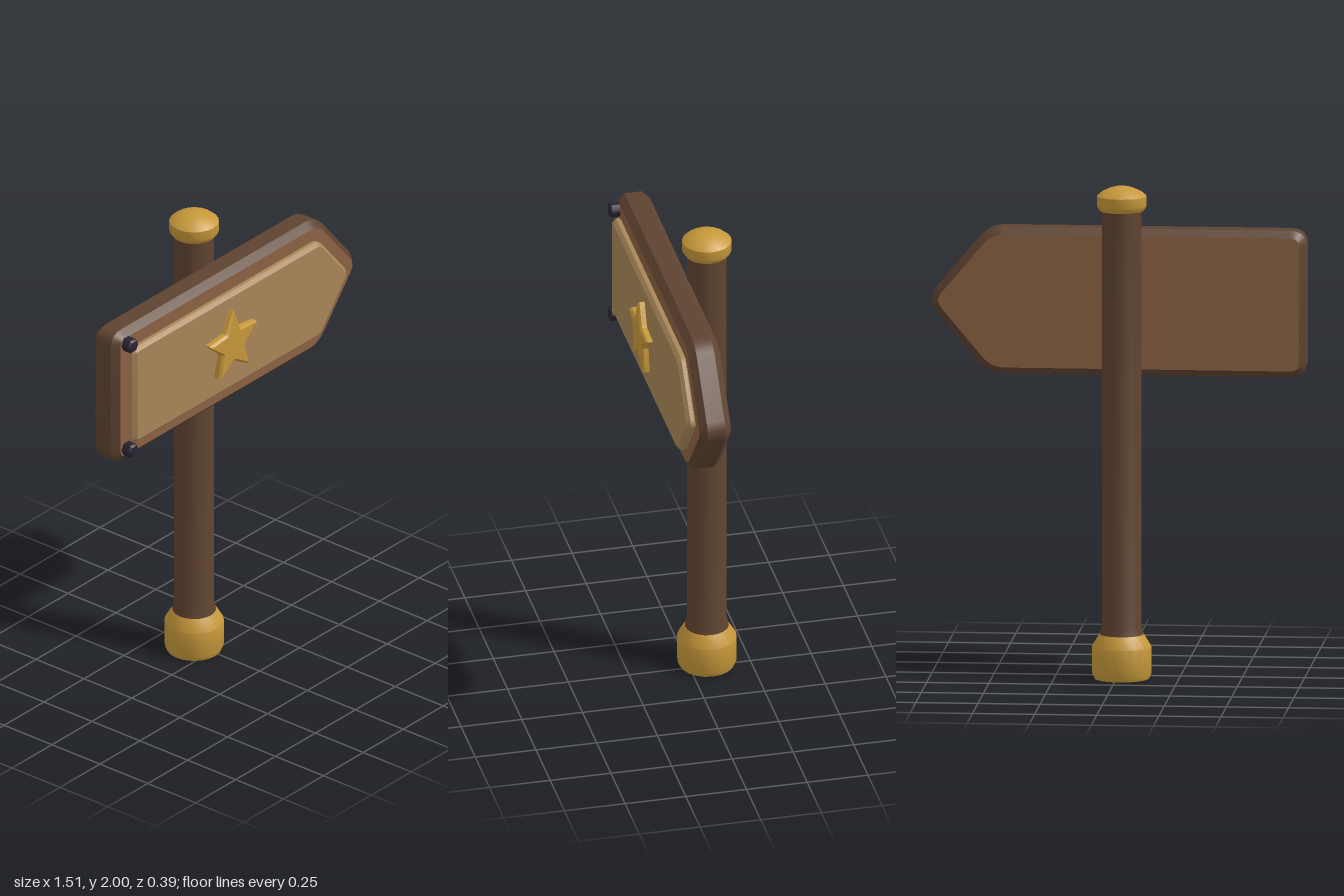
import * as THREE from 'three';
import { toCreasedNormals } from 'three/addons/utils/BufferGeometryUtils.js';

function material(name, color) {
  const m = new THREE.MeshStandardMaterial({ color });
  m.name = name;
  return m;
}

// Closed outline from [x, y, cut] corners, each rounded off over its cut distance
function roundedShape(corners) {
  const shape = new THREE.Shape();
  const n = corners.length;
  corners.forEach(([x, y, cut], i) => {
    const p = new THREE.Vector2(x, y);
    const toward = (c) => new THREE.Vector2(c[0], c[1]).sub(p).setLength(cut).add(p);
    const a = toward(corners[(i + n - 1) % n]);
    const b = toward(corners[(i + 1) % n]);
    if (i === 0) shape.moveTo(a.x, a.y);
    else shape.lineTo(a.x, a.y);
    shape.quadraticCurveTo(x, y, b.x, b.y);
  });
  shape.closePath();
  return shape;
}

// Arrow outline pointing to +x
function arrowShape(left, shoulder, tip, bottom, top, cut) {
  return roundedShape([
    [left, bottom, cut], [shoulder, bottom, cut], [tip, (bottom + top) / 2, cut],
    [shoulder, top, cut], [left, top, cut],
  ]);
}

// Bevelled slab between z0 and z1 whose widest outline is the shape
function slab(name, shape, z0, z1, bevel, mats) {
  const geo = new THREE.ExtrudeGeometry(shape, {
    depth: z1 - z0 - 2 * bevel, bevelThickness: bevel, bevelSize: bevel,
    bevelOffset: -bevel, bevelSegments: 1, curveSegments: 5,
  });
  geo.translate(0, 0, z0 + bevel);
  const mesh = new THREE.Mesh(toCreasedNormals(geo, 0.5), mats);
  mesh.name = name;
  return mesh;
}

// Turned part from [radius, y] pairs, bottom to top
function turned(name, profile, mat) {
  const points = profile.map(([r, y]) => new THREE.Vector2(r, y));
  const geo = toCreasedNormals(new THREE.LatheGeometry(points, 20), 0.6);
  const mesh = new THREE.Mesh(geo, mat);
  mesh.name = name;
  mesh.position.set(-0.02, 0, -0.075);
  return mesh;
}

export function createModel() {
  const darkWood = material('dark wood', 0x5e4330);
  const wood = material('wood', 0x8a6142);
  const paleWood = material('pale wood', 0xa88658);
  const gold = material('gold', 0xc6983a);
  const iron = material('dark iron', 0x2a2430);

  const model = new THREE.Group();
  model.name = 'signpost';

  // Post with its foot and cap
  model.add(
    turned('post', [[0.09, 0.17], [0.088, 0.185], [0.08, 0.21], [0.08, 1.91]], darkWood),
    turned('foot', [[0, 0], [0.11, 0], [0.119, 0.02], [0.12, 0.13], [0.09, 0.18], [0, 0.18]], gold),
    turned('cap', [[0, 1.9], [0.088, 1.9], [0.1, 1.918], [0.1, 1.96], [0.08, 1.977],
      [0.05, 1.991], [0.025, 1.998], [0, 2]], gold),
  );

  // Arrow board with dark edges, and its raised panel
  model.add(
    slab('board', arrowShape(-0.755, 0.525, 0.775, 1.215, 1.81, 0.065), 0, 0.13, 0.028, [wood, darkWood]),
    slab('panel', arrowShape(-0.678, 0.49, 0.67, 1.297, 1.73, 0.03), 0.12, 0.165, 0.015, paleWood),
  );

  // Star
  const star = [];
  for (let i = 0; i < 10; i++) {
    const r = i % 2 ? 0.073 : 0.158;
    const a = Math.PI / 2 + (i * Math.PI) / 5;
    star.push([-0.09 + r * Math.cos(a), 1.515 + r * Math.sin(a), i % 2 ? 0.004 : 0.012]);
  }
  model.add(slab('star', roundedShape(star), 0.155, 0.195, 0.009, gold));

  // Hexagonal bolts at the left corners of the board
  const hexagon = [];
  for (let i = 0; i < 6; i++) {
    const a = (i * Math.PI) / 3;
    hexagon.push([-0.69 + 0.032 * Math.cos(a), 0.032 * Math.sin(a), 0.003]);
  }
  for (const y of [1.275, 1.755]) {
    const bolt = slab('bolt', roundedShape(hexagon), 0.12, 0.172, 0.008, iron);
    bolt.position.y = y;
    model.add(bolt);
  }
  return model;
}
